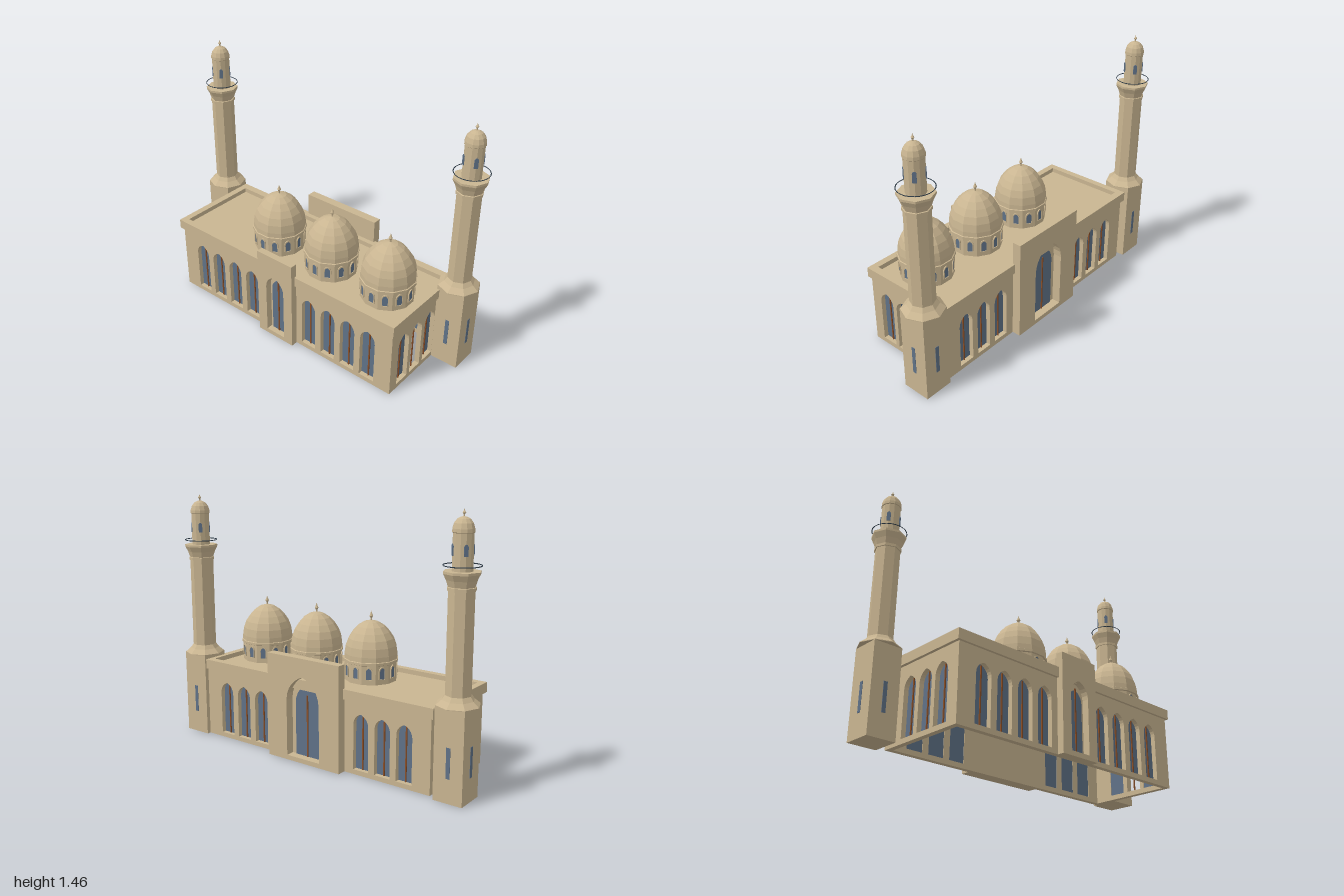
import * as THREE from 'three';

const stone = new THREE.MeshStandardMaterial({ color: 0xc9b591 });
stone.name = 'sandstone';
const glass = new THREE.MeshStandardMaterial({ color: 0x5f7187, side: THREE.DoubleSide });
glass.name = 'blue glass';
const wood = new THREE.MeshStandardMaterial({ color: 0x8a4f28 });
wood.name = 'brown wood';
const iron = new THREE.MeshStandardMaterial({ color: 0x2c3a46 });
iron.name = 'dark iron';

const T = 0.03; // wall thickness
const SILL = 0.027;

function add(parent, name, geometry, material, x = 0, y = 0, z = 0) {
  const mesh = new THREE.Mesh(geometry, material);
  mesh.name = name;
  mesh.position.set(x, y, z);
  parent.add(mesh);
  return mesh;
}

function group(parent, name, x = 0, y = 0, z = 0, turn = 0) {
  const g = new THREE.Group();
  g.name = name;
  g.position.set(x, y, z);
  g.rotation.y = turn;
  parent.add(g);
  return g;
}

// Pointed arch outline, drawn on any Shape or Path
function arch(path, u, width, bottom, top) {
  const w = width / 2, rise = width * 0.65, spring = top - rise;
  path.moveTo(u - w, bottom);
  path.lineTo(u + w, bottom);
  path.lineTo(u + w, spring);
  path.bezierCurveTo(u + w, spring + rise * 0.55, u + w * 0.45, top - rise * 0.1, u, top);
  path.bezierCurveTo(u - w * 0.45, top - rise * 0.1, u - w, spring + rise * 0.55, u - w, spring);
  path.lineTo(u - w, bottom);
  return path;
}

function rectangle(u0, u1, v0, v1, Type = THREE.Shape) {
  return new Type([[u0, v0], [u1, v0], [u1, v1], [u0, v1]].map(p => new THREE.Vector2(...p)));
}

const extrude = (shape, depth) =>
  new THREE.ExtrudeGeometry(shape, { depth, bevelEnabled: false, curveSegments: 6 });

// Faceted turned body from [radius, height] pairs
function turned(profile, sides, start = 0) {
  const points = profile.map(p => new THREE.Vector2(...p));
  const g = new THREE.LatheGeometry(points, sides, start).toNonIndexed();
  g.computeVertexNormals();
  return g;
}

// Wall facing local +z, with arched windows; "open" lists windows without a pane
function wall(parent, name, x, z, turn, length, windows, open = []) {
  const g = group(parent, name, x, 0, z, turn);
  const shape = rectangle(-length / 2, length / 2, 0, 0.44);
  windows.forEach((u, i) => {
    shape.holes.push(arch(new THREE.Path(), u, 0.097, SILL, 0.346));
    if (!open.includes(i)) {
      const pane = arch(new THREE.Shape(), u, 0.097, SILL, 0.346);
      add(g, 'windowPane', new THREE.ShapeGeometry(pane, 6), glass, 0, 0, -T + 0.003);
    }
    add(g, 'mullion', new THREE.BoxGeometry(0.007, 0.31, 0.006), wood, u, 0.183, -T + 0.008);
  });
  add(g, 'wallPanel', extrude(shape, T), stone, 0, 0, -T);
}

// Tall entrance slab with a deep arched niche
function portal(parent, name, x, z, turn, width, height, depth, niche, nicheTop, pane, paneTop) {
  const g = group(parent, name, x, 0, z, turn);
  const shape = rectangle(-width / 2, width / 2, 0, height);
  shape.holes.push(arch(new THREE.Path(), 0, niche, SILL, nicheTop));
  add(g, 'portalSlab', extrude(shape, depth), stone);
  const door = arch(new THREE.Shape(), 0, pane, SILL, paneTop);
  add(g, 'portalGlass', extrude(door, 0.004), glass, 0, 0, 0.001);
  add(g, 'portalMullion', new THREE.BoxGeometry(0.008, 0.36, 0.006), wood, 0, SILL + 0.18, 0.007);
}

function dome(parent, z) {
  const g = group(parent, 'dome', -0.063, 0, z);
  const start = Math.PI / 12;
  add(g, 'drum', turned([[0.15, 0.43], [0.15, 0.558]], 12, start), stone);
  add(g, 'drumCornice', turned([[0.148, 0.552], [0.158, 0.556], [0.158, 0.57], [0.15, 0.574]], 12, start), stone);
  add(g, 'domeShell', turned([
    [0.153, 0.57], [0.152, 0.60], [0.145, 0.645], [0.13, 0.685], [0.107, 0.72],
    [0.078, 0.752], [0.042, 0.775], [0, 0.786]], 12, start), stone);
  add(g, 'domeFinial', turned([
    [0.005, 0.78], [0.005, 0.797], [0.011, 0.808], [0.005, 0.822], [0, 0.838]], 8), stone);
  // One small arched window on each drum face
  const face = 0.15 * Math.cos(start);
  for (let i = 0; i < 12; i++) {
    const bay = group(g, 'drumBay', 0, 0, 0, i * Math.PI / 6);
    const frame = arch(new THREE.Shape(), 0, 0.042, 0.474, 0.548);
    frame.holes.push(arch(new THREE.Path(), 0, 0.03, 0.476, 0.54));
    add(bay, 'drumWindowFrame', extrude(frame, 0.006), stone, 0, 0, face);
    add(bay, 'drumWindow', extrude(arch(new THREE.Shape(), 0, 0.03, 0.476, 0.54), 0.002), glass, 0, 0, face);
  }
}

function minaret(parent, x, z) {
  const g = group(parent, 'minaret', x, 0, z);
  add(g, 'minaretBase', new THREE.BoxGeometry(0.166, 0.497, 0.166), stone, 0, 0.2485, 0);
  add(g, 'minaretShaft', turned([
    [0, 0.495], [0.116, 0.495], [0.116, 0.499], [0.085, 0.525], [0.068, 0.548], [0.068, 1.067],
    [0.074, 1.067], [0.074, 1.083], [0.069, 1.085], [0.08, 1.118], [0.095, 1.148],
    [0.095, 1.16], [0, 1.16]], 8), stone);
  add(g, 'lantern', turned([[0.052, 1.155], [0.052, 1.345]], 12, Math.PI / 12), stone);
  add(g, 'lanternDome', turned([
    [0.05, 1.34], [0.056, 1.345], [0.055, 1.362], [0.047, 1.388],
    [0.032, 1.407], [0.015, 1.416], [0, 1.419]], 12, Math.PI / 12), stone);
  add(g, 'minaretFinial', turned([
    [0.004, 1.415], [0.004, 1.428], [0.009, 1.436], [0.003, 1.446], [0, 1.458]], 8), stone);
  const rail = add(g, 'balconyRail', new THREE.TorusGeometry(0.094, 0.0025, 4, 24), iron, 0, 1.187, 0);
  rail.rotation.x = Math.PI / 2;
  for (let i = 0; i < 4; i++) {
    const side = group(g, 'baseSide', 0, 0, 0, i * Math.PI / 2);
    add(side, 'baseSlit', new THREE.BoxGeometry(0.023, 0.163, 0.003), glass, 0, 0.213, 0.0835);
    const corner = group(g, 'lanternSide', 0, 0, 0, Math.PI / 4 + i * Math.PI / 2);
    const slit = arch(new THREE.Shape(), 0, 0.021, 1.233, 1.291);
    add(corner, 'lanternWindow', extrude(slit, 0.005), glass, 0, 0, 0.049);
  }
}

export function createModel() {
  const model = new THREE.Group();
  model.name = 'mosque';

  // Hollow hall: four walls around an open floor
  const x0 = -0.29, x1 = 0.262, z0 = -0.768, z1 = 0.803;
  const cx = (x0 + x1) / 2, cz = (z0 + z1) / 2;
  const bays = [0.217, 0.355, 0.492, 0.628];
  const mirrored = list => [...list, ...list.map(u => -u)];
  const endLength = x1 - x0 - 2 * T;
  wall(model, 'frontWall', cx, z1, 0, endLength, [-0.178, -0.055, 0.071].map(x => x - cx), [1]);
  wall(model, 'backWall', cx, z0, Math.PI, endLength, [-0.168, -0.043, 0.083].map(x => cx - x));
  wall(model, 'rightSideWall', x1, cz, Math.PI / 2, z1 - z0, mirrored(bays.slice(1)));
  wall(model, 'leftSideWall', x0, cz, -Math.PI / 2, z1 - z0, mirrored(bays));

  // Flat roof inside a raised cornice
  add(model, 'roof', new THREE.BoxGeometry(x1 - x0 - 0.01, 0.02, z1 - z0 - 0.01), stone, cx, 0.435, cz);
  const rim = rectangle(-0.305, 0.277, -0.816, 0.785);
  rim.holes.push(rectangle(-0.265, 0.232, -0.772, 0.746, THREE.Path));
  add(model, 'cornice', extrude(rim, 0.057), stone, 0, 0.415, 0).rotation.x = -Math.PI / 2;

  portal(model, 'mainPortal', 0.262, 0.02, Math.PI / 2, 0.5, 0.606, 0.052, 0.228, 0.5, 0.171, 0.445);
  portal(model, 'rearPortal', -0.29, 0.018, -Math.PI / 2, 0.255, 0.553, 0.04, 0.13, 0.42, 0.1, 0.38);

  for (const z of [-0.176, 0.214, 0.602]) dome(model, z);
  minaret(model, 0.203, 0.884);
  minaret(model, 0.208, -0.884);
  return model;
}
